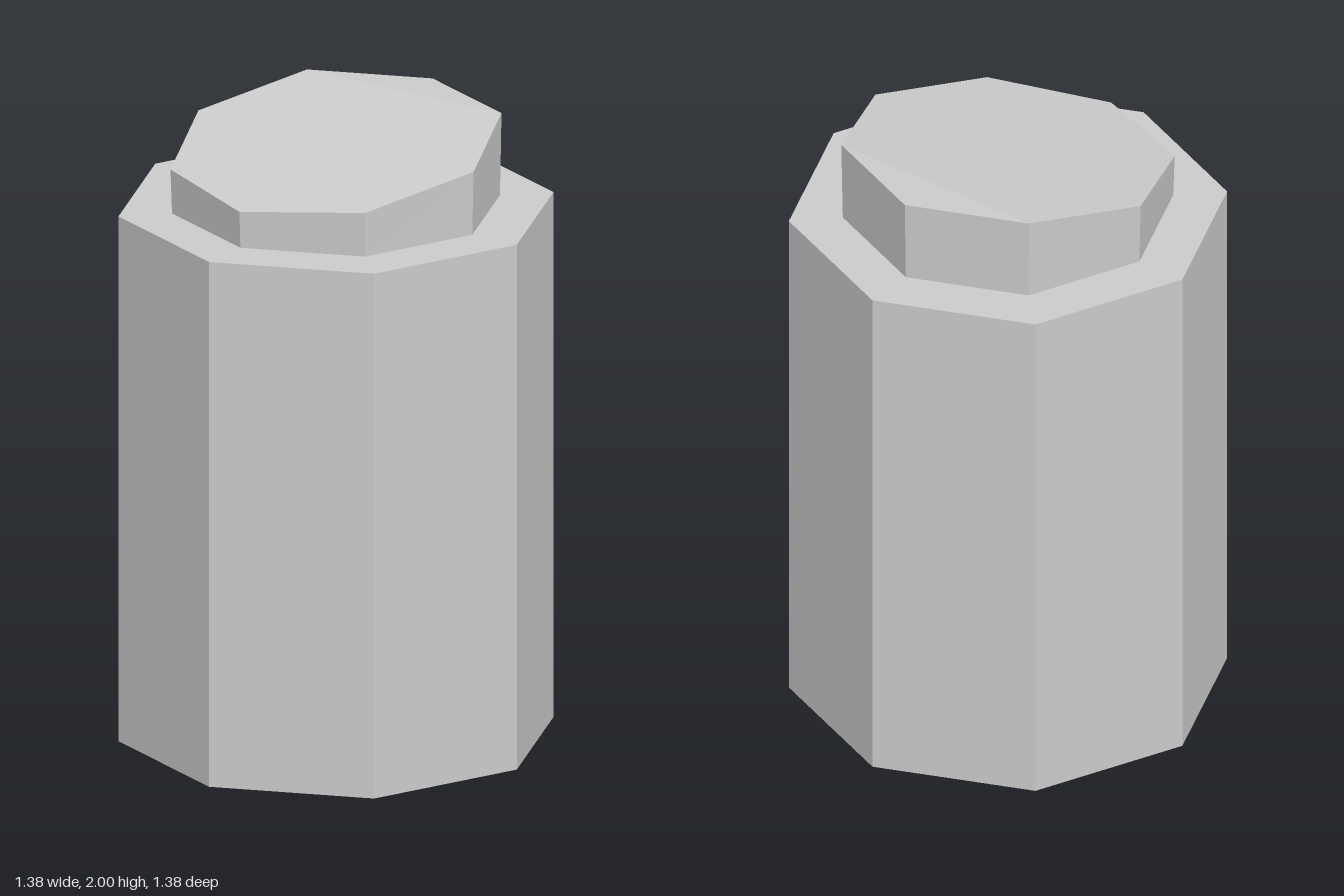
import * as THREE from 'three';

const SIDES = 8;
const BODY_HEIGHT = 1.73;
const CREASE_Z = -0.37; // the lid top is level behind this line and slopes down ahead of it

// Octagonal lid with a sloped top
function lidGeometry() {
  const geo = new THREE.CylinderGeometry(0.525, 0.52, 0.2, SIDES);
  const pos = geo.attributes.position;
  for (let i = 0; i < pos.count; i++) {
    if (pos.getY(i) < 0) {
      pos.setY(i, BODY_HEIGHT);
      continue;
    }
    // The fan centre moves onto the crease so both top planes stay flat
    if (Math.hypot(pos.getX(i), pos.getZ(i)) < 0.01) pos.setZ(i, CREASE_Z);
    pos.setY(i, Math.min(2, 2 - (pos.getZ(i) - CREASE_Z) * 0.168));
  }
  const flat = geo.toNonIndexed();
  flat.computeVertexNormals();
  return flat;
}

export function createModel() {
  const model = new THREE.Group();
  model.name = 'container';
  const material = new THREE.MeshStandardMaterial({ color: 0xcccccc, flatShading: true });

  // Octagonal body
  const body = new THREE.Mesh(new THREE.CylinderGeometry(0.69, 0.69, BODY_HEIGHT, SIDES), material);
  body.name = 'body';
  body.position.y = BODY_HEIGHT / 2;

  const lid = new THREE.Mesh(lidGeometry(), material);
  lid.name = 'lid';

  model.add(body, lid);
  return model;
}
